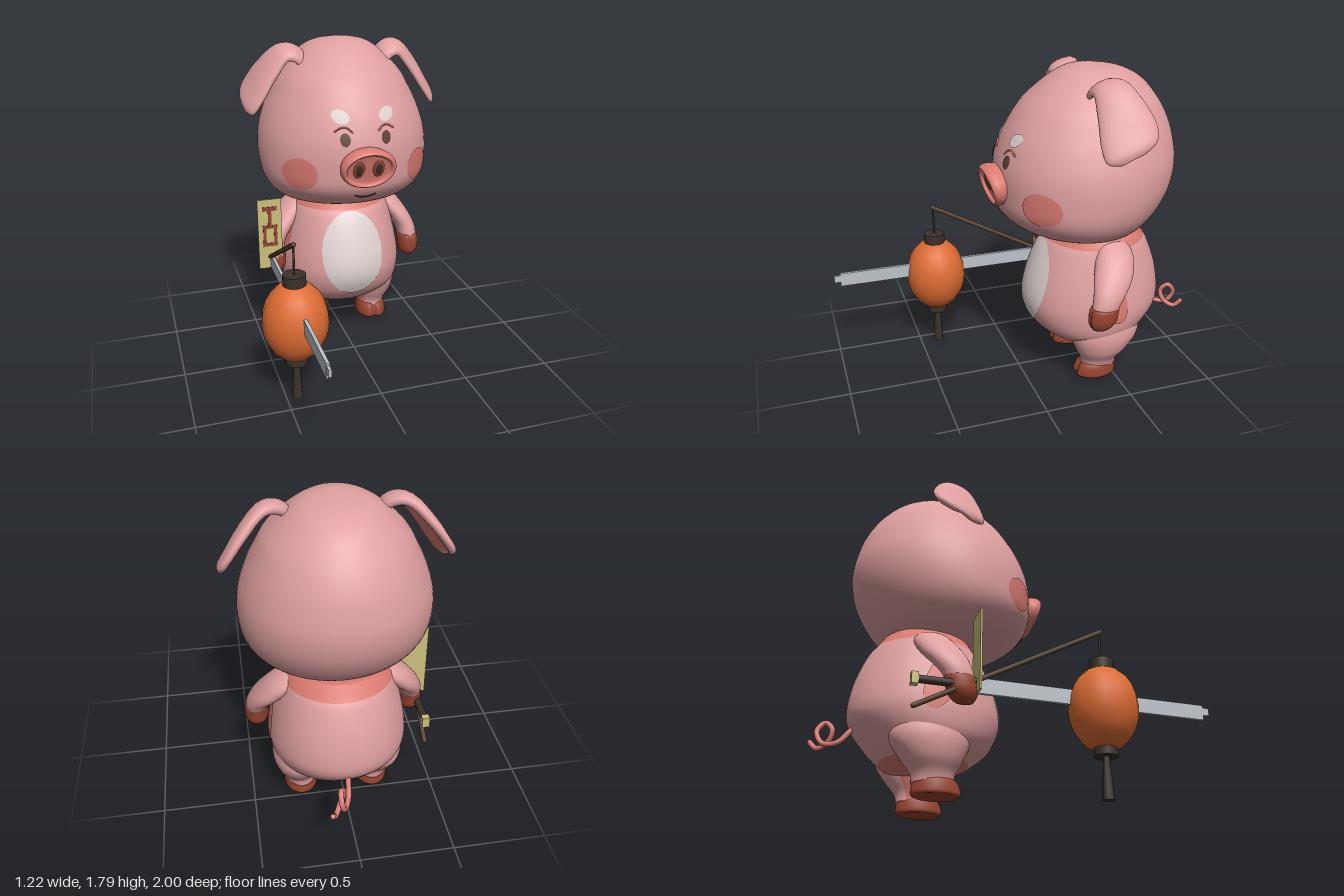
import * as THREE from 'three';

const mat = (name, color) => Object.assign(new THREE.MeshStandardMaterial({ color }), { name });
const pink = mat('pink skin', 0xe0a0a0), salmon = mat('salmon skin', 0xdb7c72), hoofRed = mat('hoof red', 0x96432f),
  white = mat('soft white', 0xded2d0), brown = mat('wood brown', 0x5c4433), dark = mat('dark brown', 0x3b312b),
  orange = mat('lantern orange', 0xdd6c33), tan = mat('paper tan', 0xccbf7c), silver = mat('blade silver', 0xbcc1ca);

function add(parent, name, geo, material, x = 0, y = 0, z = 0) {
  const m = new THREE.Mesh(geo, material);
  m.name = name;
  m.position.set(x, y, z);
  parent.add(m);
  return m;
}

// Skin closed rings into a capped solid; pick(i, j) chooses the material slot
function skin(rings, pick = () => 0) {
  const n = rings[0].length, pos = [], slots = [[], []];
  rings.forEach(r => r.forEach(p => pos.push(p.x, p.y, p.z)));
  const last = rings.length - 1;
  for (let i = 0; i < last; i++) for (let j = 0; j < n; j++) {
    const k = (j + 1) % n, a = i * n + j, b = i * n + k, c = b + n, d = a + n;
    slots[pick(i, j)].push(a, b, c, a, c, d);
  }
  [0, last].forEach(i => {
    const c = new THREE.Vector3();
    rings[i].forEach(p => c.addScaledVector(p, 1 / n));
    const id = pos.length / 3;
    pos.push(c.x, c.y, c.z);
    for (let j = 0; j < n; j++) {
      const a = i * n + j, b = i * n + (j + 1) % n;
      slots[pick(Math.min(i, last - 1), j)].push(...(i ? [a, b, id] : [b, a, id]));
    }
  });
  const g = new THREE.BufferGeometry();
  g.setAttribute('position', new THREE.Float32BufferAttribute(pos, 3));
  g.setIndex([...slots[0], ...slots[1]]);
  g.addGroup(0, slots[0].length, 0);
  g.addGroup(slots[0].length, slots[1].length, 1);
  g.computeVertexNormals();
  return g;
}

// Mirror a geometry across x, keeping faces outward
function mirror(geo) {
  const g = geo.clone().scale(-1, 1, 1), ix = g.index;
  for (let i = 0; i < ix.count; i += 3) {
    const t = ix.getX(i);
    ix.setX(i, ix.getX(i + 1));
    ix.setX(i + 1, t);
  }
  g.computeVertexNormals();
  return g;
}
function pair(parent, name, geo, material) {
  add(parent, name + 'Left', geo, material);
  add(parent, name + 'Right', mirror(geo), material);
}

// Smooth rows [y, centre x, half width, front z, back z]
function smoothRows(rows, steps) {
  const cols = rows[0].map((_, c) => new THREE.SplineCurve(rows.map((r, i) => new THREE.Vector2(i, r[c]))));
  return Array.from({ length: steps + 1 }, (_, i) => {
    const [y, cx, w, f, b] = cols.map(c => c.getPoint(i / steps).y);
    return { y, cx, w, zc: (f + b) / 2, rz: (f - b) / 2 };
  });
}
function loft(rows, n, pick, notch = 0) {
  return skin(rows.map(r => Array.from({ length: n }, (_, j) => {
    const t = j / n * Math.PI * 2, d = Math.min(t, Math.PI * 2 - t);
    const k = 1 - notch * Math.exp(-((d / 0.2) ** 2));
    return new THREE.Vector3(r.cx + r.w * Math.sin(t) * k, r.y, r.zc + r.rz * Math.cos(t) * k);
  })), pick);
}
function rowAt(rows, y) {
  let i = 1;
  while (i < rows.length - 1 && rows[i].y < y) i++;
  const a = rows[i - 1], b = rows[i], t = THREE.MathUtils.clamp((y - a.y) / (b.y - a.y), 0, 1);
  const mix = k => a[k] + (b[k] - a[k]) * t;
  return { w: mix('w'), zc: mix('zc'), rz: mix('rz') };
}
const dome = t => Math.sqrt(Math.max(0, 1 - t * t));
function frontZ(rows, x, y) {
  const r = rowAt(rows, y);
  return r.zc + r.rz * dome(x / r.w);
}
// Painted oval that hugs a lofted surface, seen from the front or the side
function patch(rows, c, y0, rx, ry, tilt = 0, side = false) {
  const g = new THREE.RingGeometry(0.001, 1, 36, 6), p = g.attributes.position;
  const cs = Math.cos(tilt), sn = Math.sin(tilt);
  for (let i = 0; i < p.count; i++) {
    const u = p.getX(i) * rx, v = p.getY(i) * ry;
    const a = u * cs - v * sn, y = y0 + u * sn + v * cs;
    if (side) {
      const r = rowAt(rows, y), z = c - a;
      p.setXYZ(i, r.w * dome((z - r.zc) / r.rz) + 0.006, y, z);
    } else p.setXYZ(i, c + a, y, frontZ(rows, c + a, y) + 0.006);
  }
  g.computeVertexNormals();
  return g;
}
// Thin line drawn on the face
function faceLine(rows, pts, r) {
  const path = pts.map(([x, y]) => new THREE.Vector3(x, y, frontZ(rows, x, y) + 0.002));
  return new THREE.TubeGeometry(new THREE.CatmullRomCurve3(path), 16, r, 6);
}

function earGeometry() {
  // x, y, half width, thickness, centre z
  const pts = [[.2, 1.62, .06, .03, -.32], [.26, 1.7, .075, .045, -.34], [.335, 1.71, .09, .045, -.36],
    [.42, 1.62, .12, .045, -.38], [.49, 1.52, .14, .04, -.39], [.535, 1.45, .125, .035, -.39], [.552, 1.42, .06, .015, -.39]];
  const cols = [0, 1, 2, 3, 4].map(c => new THREE.SplineCurve(pts.map((p, i) => new THREE.Vector2(i, p[c]))));
  const at = t => cols.map(c => c.getPoint(t).y), steps = 26, n = 32;
  const rings = Array.from({ length: steps + 1 }, (_, i) => {
    const t = i / steps, [x, y, w, th, z] = at(t), a = at(Math.max(0, t - .02)), b = at(Math.min(1, t + .02));
    const T = new THREE.Vector3(b[0] - a[0], b[1] - a[1], 0).normalize(), N = new THREE.Vector3(T.y, -T.x, 0);
    const D = new THREE.Vector3(0, 0, 1).addScaledVector(N, .25).addScaledVector(T, .35 * t);
    return Array.from({ length: n }, (_, j) => {
      const f = j / n * Math.PI * 2, s = Math.sin(f);
      const off = th * (s > 0 ? s - 1.25 * s ** 4 : s);
      return new THREE.Vector3(x, y, z).addScaledVector(N, off).addScaledVector(D, w * Math.cos(f));
    });
  });
  return skin(rings, (i, j) => (j > 2 && j < 13 && i < 24 ? 1 : 0));
}

export function createModel() {
  const model = new THREE.Group();
  model.name = 'pigWithLantern';
  const pig = new THREE.Group();
  pig.name = 'pig';
  pig.position.x = 0.03;
  model.add(pig);

  // Head
  const head = smoothRows([[.872, 0, .2, -.2, -.56], [.89, 0, .3, -.1, -.62], [.94, 0, .4, .03, -.69], [1.03, 0, .465, .12, -.77],
    [1.15, 0, .487, .14, -.835], [1.28, 0, .48, .135, -.86], [1.4, 0, .445, .1, -.845], [1.5, 0, .4, .05, -.815],
    [1.6, 0, .345, -.02, -.76], [1.7, 0, .25, -.13, -.675], [1.76, 0, .165, -.22, -.57], [1.785, 0, .08, -.29, -.45],
    [1.795, 0, .01, -.345, -.365]], 60);
  add(pig, 'head', loft(head, 72), pink);
  pair(pig, 'ear', earGeometry(), [pink, salmon]);

  // Face
  pair(pig, 'cheek', patch(head, .335, 1.125, .08, .09), salmon);
  pair(pig, 'eye', patch(head, .113, 1.325, .027, .035), brown);
  pair(pig, 'eyebrow', patch(head, .127, 1.44, .046, .034, .35), white);
  pair(pig, 'eyelid', faceLine(head, [[.07, 1.36], [.1, 1.385], [.13, 1.385], [.165, 1.365]], .005), salmon);
  add(pig, 'mouth', faceLine(head, [[-.06, 1.01], [-.03, .997], [0, .993], [.03, .997], [.06, 1.01]], .004), dark);

  // Snout
  const snout = new THREE.Group();
  snout.name = 'snout';
  snout.position.set(0, 1.18, .14);
  snout.rotation.x = .27;
  pig.add(snout);
  const rim = [[.7, -.08], [.92, -.02], [1, .015], [.97, .04], [.89, .053], [.8, .045], [.72, .032], [.001, .03]];
  const curve = new THREE.SplineCurve(rim.map(p => new THREE.Vector2(...p)));
  add(snout, 'snoutDisc', new THREE.LatheGeometry(curve.getPoints(24), 48).rotateX(Math.PI / 2).scale(.155, .113, 1), salmon);
  for (const s of [-1, 1]) {
    const oval = (rx, ry, d) => new THREE.SphereGeometry(1, 24, 12).scale(rx, ry, d);
    add(snout, 'nostrilRim', oval(.032, .052, .008), hoofRed, s * .055, 0, .03);
    add(snout, 'nostril', oval(.02, .038, .008), dark, s * .055, 0, .033);
  }

  // Body with neck band and belly
  const body = smoothRows([[.2, 0, .12, -.3, -.55], [.215, 0, .22, -.22, -.62], [.25, 0, .29, -.16, -.67], [.32, 0, .345, -.08, -.74],
    [.42, 0, .365, -.035, -.815], [.52, 0, .36, -.035, -.825], [.65, 0, .335, -.07, -.8], [.78, 0, .3, -.125, -.75],
    [.84, 0, .28, -.17, -.71], [.9, 0, .24, -.2, -.67]], 60);
  add(pig, 'body', loft(body, 72, i => (body[i].y > .815 || body[i].y < .225 ? 1 : 0)), [pink, salmon]);
  add(pig, 'belly', patch(body, -.01, .575, .18, .245), white);
  pair(pig, 'underarm', patch(body, -.41, .57, .08, .17, .35, true), salmon);

  // Legs and hooves
  const leg = smoothRows([[.08, .2, .078, -.305, -.515], [.13, .205, .09, -.3, -.525], [.2, .215, .122, -.265, -.58],
    [.3, .215, .14, -.23, -.64], [.42, .2, .13, -.25, -.62]], 20);
  pair(pig, 'leg', loft(leg, 40, (i, j) => (j > 25 && j < 35 ? 1 : 0)), [pink, salmon]);
  const foot = smoothRows([[.02, .2, .085, -.275, -.505], [.03, .2, .093, -.265, -.515], [.06, .2, .092, -.27, -.513],
    [.09, .2, .086, -.285, -.505], [.108, .2, .07, -.31, -.49], [.112, .2, .04, -.34, -.45]], 18);
  pair(pig, 'hoof', loft(foot, 48, undefined, .22), hoofRed);

  // Arms and hands
  const arm = smoothRows([[.5, .425, .05, -.27, -.4], [.56, .422, .057, -.268, -.42], [.62, .408, .063, -.28, -.46],
    [.7, .36, .075, -.3, -.52], [.79, .285, .085, -.34, -.55], [.85, .225, .07, -.37, -.53], [.87, .2, .04, -.41, -.49]], 24);
  pair(pig, 'arm', loft(arm, 36), pink);
  const hand = smoothRows([[.43, .42, .02, -.29, -.34], [.44, .42, .042, -.265, -.37], [.48, .423, .062, -.248, -.405],
    [.53, .423, .064, -.25, -.415], [.56, .42, .06, -.262, -.42], [.565, .42, .04, -.28, -.4]], 18);
  pair(pig, 'hand', loft(hand, 40, undefined, .15), hoofRed);

  // Curly tail
  const tail = new THREE.CatmullRomCurve3([[0, .39, -.79], [.01, .315, -.86], [.04, .315, -.93], [.06, .38, -.96], [.06, .43, -.92],
    [.04, .39, -.885], [.06, .33, -.9], [.09, .3, -.95], [.11, .335, -.988]].map(p => new THREE.Vector3(...p)));
  add(pig, 'tail', new THREE.TubeGeometry(tail, 80, .014, 10), salmon);
  add(pig, 'tailTip', new THREE.SphereGeometry(.014, 10, 8), salmon, .11, .335, -.986);

  // Lantern
  const lantern = new THREE.Group();
  lantern.name = 'lantern';
  lantern.position.set(-.44, 0, .39);
  model.add(lantern);
  const cyl = (a, b, h, n = 20) => new THREE.CylinderGeometry(a, b, h, n);
  add(lantern, 'lanternShade', new THREE.SphereGeometry(1, 16, 12).scale(.177, .225, .177), orange, 0, .465, 0);
  add(lantern, 'lanternTopCap', cyl(.061, .061, .06), dark, 0, .7, 0);
  add(lantern, 'lanternBottomCap', cyl(.061, .061, .05), dark, 0, .24, 0);
  add(lantern, 'tassel', cyl(.016, .03, .22, 12), dark, 0, .11, 0);
  add(lantern, 'lanternString', cyl(.006, .006, .17, 8), dark, 0, .81, 0);

  // Carrying stick
  const from = new THREE.Vector3(-.43, .375, -.57), to = new THREE.Vector3(-.44, .895, .395);
  add(model, 'stick', new THREE.TubeGeometry(new THREE.LineCurve3(from, to), 1, .013, 10), brown);
  for (const p of [from, to]) add(model, 'stickEnd', new THREE.SphereGeometry(.013, 10, 8), brown, p.x, p.y, p.z);

  // Sword
  const box = (x, y, z) => new THREE.BoxGeometry(x, y, z);
  add(model, 'blade', box(.018, .08, 1.25), silver, -.425, .513, .34);
  add(model, 'bladeTip', box(.016, .04, .04), silver, -.425, .52, .98);
  add(model, 'swordGrip', cyl(.02, .02, .28, 12).rotateX(Math.PI / 2), dark, -.425, .513, -.42);
  add(model, 'pommel', box(.04, .06, .035), tan, -.425, .513, -.57);

  // Paper charm with painted bars
  add(model, 'charm', box(.14, .43, .01), tan, -.43, .685, -.265);
  for (const [x, y, w, h] of [[-.43, .842, .085, .025], [-.43, .78, .02, .1], [-.43, .73, .085, .02], [-.462, .67, .018, .1],
    [-.398, .67, .018, .1], [-.43, .62, .085, .02]])
    add(model, 'charmBar', box(w, h, .004), hoofRed, x, y, -.258);

  return model;
}
